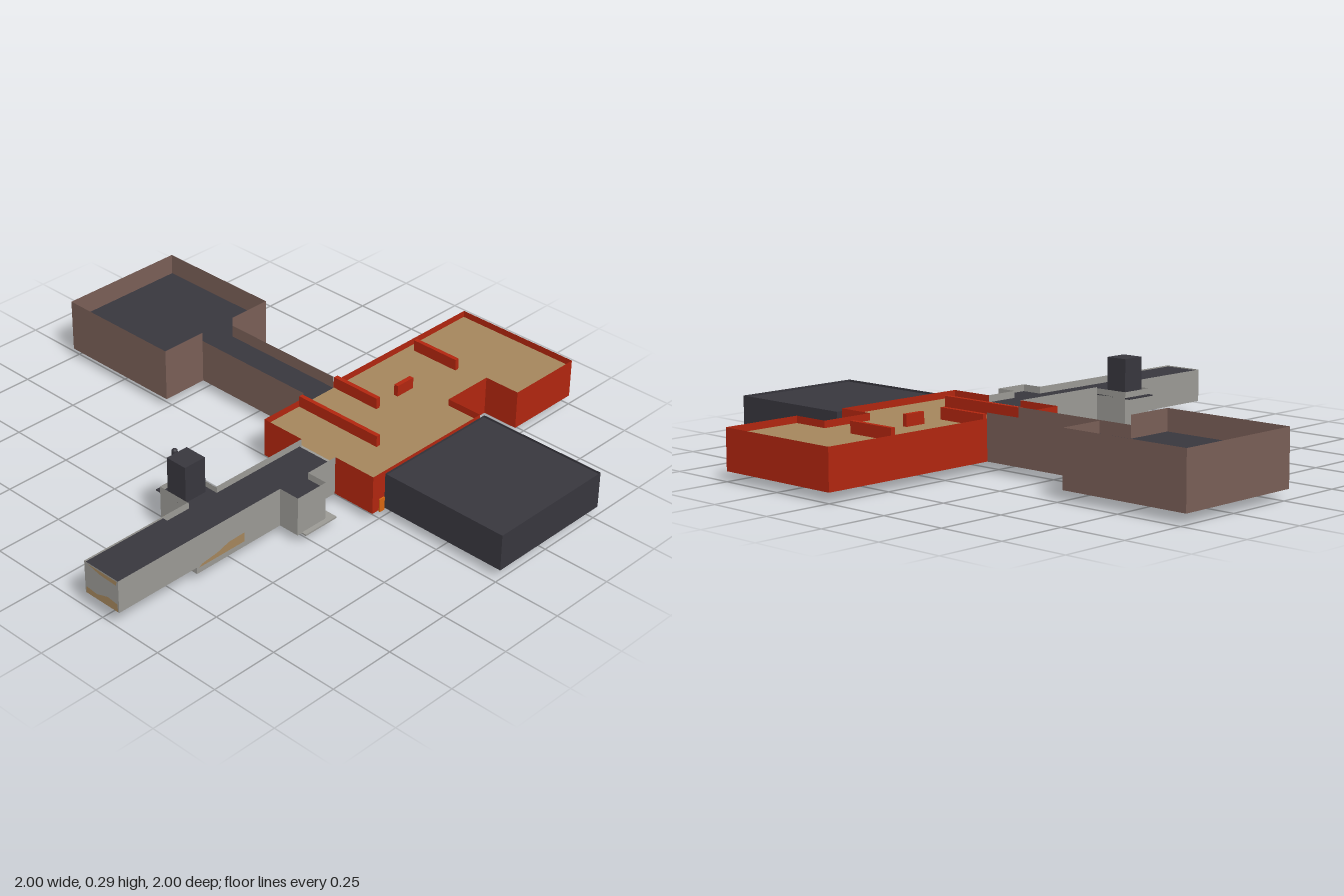
import * as THREE from 'three';

const mat = (name, color) => new THREE.MeshStandardMaterial({ name, color, side: THREE.DoubleSide });

export function createModel() {
  const root = new THREE.Group();
  root.name = 'floorPlanModel';
  const charcoal = mat('charcoal', 0x38373e);
  const brown = mat('brown', 0x7a5f57);
  const red = mat('red', 0xb3260f);
  const tan = mat('tan', 0xa5875d);
  const grey = mat('grey', 0x9c9b96);
  const orange = mat('orange', 0xd8660f);
  const olive = mat('olive', 0xc8c610);

  const add = (name, geometry, material, parent) => {
    const mesh = new THREE.Mesh(geometry, material);
    mesh.name = name;
    parent.add(mesh);
    return mesh;
  };
  const section = (name) => {
    const g = new THREE.Group();
    g.name = name;
    root.add(g);
    return g;
  };
  // Flat slab outline given as [x, z] corners; facing up or down
  const slab = (name, pts, y, material, parent, down = false) => {
    const s = down ? 1 : -1;
    const shape = new THREE.Shape(pts.map(([x, z]) => new THREE.Vector2(x, s * z)));
    const geo = new THREE.ShapeGeometry(shape).rotateX(s * Math.PI / 2);
    geo.translate(0, y, 0);
    return add(name, geo, material, parent);
  };
  const rect = (x0, x1, z0, z1) => [[x0, z0], [x1, z0], [x1, z1], [x0, z1]];
  // Thin upright walls following an [x, z] path
  const walls = (name, path, y0, y1, material, parent) => {
    const pos = [];
    for (let i = 0; i + 1 < path.length; i++) {
      const [ax, az] = path[i], [bx, bz] = path[i + 1];
      pos.push(ax, y0, az, bx, y0, bz, bx, y1, bz, ax, y0, az, bx, y1, bz, ax, y1, az);
    }
    const geo = new THREE.BufferGeometry();
    geo.setAttribute('position', new THREE.Float32BufferAttribute(pos, 3));
    geo.computeVertexNormals();
    return add(name, geo, material, parent);
  };
  const box = (name, x0, x1, y0, y1, z0, z1, material, parent) => {
    const geo = new THREE.BoxGeometry(x1 - x0, y1 - y0, z1 - z0);
    geo.translate((x0 + x1) / 2, (y0 + y1) / 2, (z0 + z1) / 2);
    return add(name, geo, material, parent);
  };

  const base = 0.035, floor = 0.155;

  // Brown room and its passage
  const west = section('brownRoom');
  slab('roomFloor', rect(-1, -0.5, -0.475, 0.025), floor, charcoal, west);
  slab('roomUnderside', rect(-1, -0.5, -0.475, 0.025), base, olive, west, true);
  walls('roomWalls', [[-0.5, -0.305], [-0.5, -0.475], [-1, -0.475], [-1, 0.025], [-0.5, 0.025], [-0.5, -0.155]],
    base, 0.233, brown, west);
  slab('passageFloor', rect(-0.5, 0, -0.305, -0.155), floor, charcoal, west);
  slab('passageUnderside', rect(-0.5, 0, -0.305, -0.155), base, olive, west, true);
  for (const z of [-0.305, -0.155]) walls('passageWall', [[-0.5, z], [0, z]], base, 0.2, brown, west);
  box('undersidePlate', -0.9, -0.66, base - 0.005, base - 0.001, -0.34, -0.12, orange, west);
  box('undersideBlock', -0.79, -0.7, 0, base, -0.31, -0.17, orange, west);

  // Red hall with a notch on one side
  const hall = section('redHall');
  const outline = [[0, -1], [0.5, -1], [0.5, -0.7], [0.36, -0.7], [0.36, -0.5], [0.5, -0.5], [0.5, 0.035], [0, 0.035]];
  slab('hallFloor', outline, floor, tan, hall);
  slab('hallUnderside', outline, base, grey, hall, true);
  walls('hallWalls', [[0, -0.305], ...outline.slice(0, 7), [0.33, 0.035]], base, 0.18, red, hall);
  walls('hallCornerWalls', [[0.175, 0.035], [0, 0.035], [0, -0.155]], base, 0.18, red, hall);
  for (const [x0, x1, z0, z1] of [
    [0.03, 0.225, -0.708, -0.692], [0.18, 0.197, -0.5, -0.42],
    [0, 0.2, -0.325, -0.308], [0, 0.36, -0.15, -0.134],
  ]) box('partition', x0, x1, floor, 0.197, z0, z1, red, hall);
  box('undersideStrip', 0.31, 0.43, base - 0.005, base - 0.001, -0.29, -0.23, orange, hall);
  box('undersideCornerPlate', 0.02, 0.15, base - 0.005, base - 0.001, -0.06, 0.03, orange, hall);
  box('sidePlate', 0.501, 0.506, 0.03, 0.08, -0.018, 0.005, orange, hall);

  // Charcoal room
  const east = section('charcoalRoom');
  const eastRect = rect(0.503, 1, -0.52, -0.02);
  slab('charcoalFloor', eastRect, 0.162, charcoal, east);
  slab('charcoalUnderside', eastRect, base, grey, east, true);
  walls('charcoalWalls', [...eastRect, eastRect[0]], base, 0.17, charcoal, east);
  box('charcoalUndersidePlate', 0.62, 0.88, base - 0.005, base - 0.001, -0.23, -0.07, orange, east);

  // Grey front passage, with a shallower closed end
  const front = section('greyPassage');
  const L = 0.175, R = 0.33;
  slab('greyFloor', rect(L, R, 0.045, 0.67), floor, charcoal, front);
  slab('greyUnderside', rect(L, R, 0.035, 0.67), base, grey, front, true);
  walls('rightWallNear', [[R, 0.295], [R, 0.67]], base, 0.18, grey, front);
  walls('rightWallFar', [[R, 0.035], [R, 0.165]], base, 0.18, grey, front);
  walls('leftWallNear', [[L, 0.555], [L, 0.67]], base, 0.18, grey, front);
  walls('leftWallFar', [[L, 0.035], [L, 0.43]], base, 0.18, grey, front);
  slab('endRoof', rect(0.178, 0.327, 0.67, 1), 0.176, charcoal, front);
  slab('endUnderside', rect(0.178, 0.327, 0.67, 1), 0.06, charcoal, front, true);
  walls('endWalls', [[R, 0.67], [R, 1], [L, 1], [L, 0.67]], 0.06, 0.18, grey, front);
  walls('stepWall', [[L, 0.67], [R, 0.67]], base, 0.06, grey, front);

  // Side alcoves
  walls('rightAlcoveWalls', [[R, 0.165], [0.41, 0.165], [0.41, 0.295], [R, 0.295]], base, 0.18, grey, front);
  slab('rightAlcoveFloor', rect(R, 0.41, 0.165, 0.295), floor, charcoal, front);
  box('rightAlcoveBase', R, 0.428, base - 0.004, base + 0.002, 0.13, 0.275, grey, front);
  walls('leftAlcoveWalls', [[L, 0.43], [0.04, 0.43], [0.04, 0.555], [L, 0.555]], base, 0.176, grey, front);
  slab('leftAlcoveUnderside', rect(0.04, L, 0.43, 0.555), base, grey, front, true);
  box('leftAlcovePlate', 0.02, L, floor - 0.004, floor, 0.43, 0.555, charcoal, front);
  box('tower', 0.06, 0.145, floor, 0.29, 0.452, 0.54, charcoal, front);
  box('leftLedge', 0.16, L, base, base + 0.005, 0.555, 0.63, grey, front);

  // Worn tan patches, each outlined by a few points on a wall
  const patch = (name, pts, place) => {
    const geo = new THREE.ShapeGeometry(new THREE.Shape(pts.map((p) => new THREE.Vector2(...p))));
    place(geo);
    add(name, geo, tan, front);
  };
  patch('sidePatch', [[-0.66, 0.057], [-0.46, 0.057], [-0.46, 0.092], [-0.53, 0.09], [-0.58, 0.075], [-0.65, 0.066]],
    (g) => g.rotateY(Math.PI / 2).translate(R + 0.002, 0, 0));
  patch('endPatch', [[0.18, 0.061], [0.325, 0.061], [0.325, 0.09], [0.28, 0.096], [0.23, 0.08], [0.18, 0.085]],
    (g) => g.translate(0, 0, 1.001));
  patch('endTopPatch', [[0.19, 0.176], [0.325, 0.176], [0.32, 0.16], [0.25, 0.163]],
    (g) => g.translate(0, 0, 1.001));
  patch('alcovePatch', [[0.042, 0.055], [0.135, 0.055], [0.135, 0.08], [0.1, 0.092], [0.06, 0.072]],
    (g) => g.translate(0, 0, 0.557));

  // Small free-standing marker
  const marker = add('marker', new THREE.CapsuleGeometry(0.011, 0.02, 4, 10), charcoal, root);
  marker.position.set(-0.203, 0.055, 0.265);

  return root;
}
